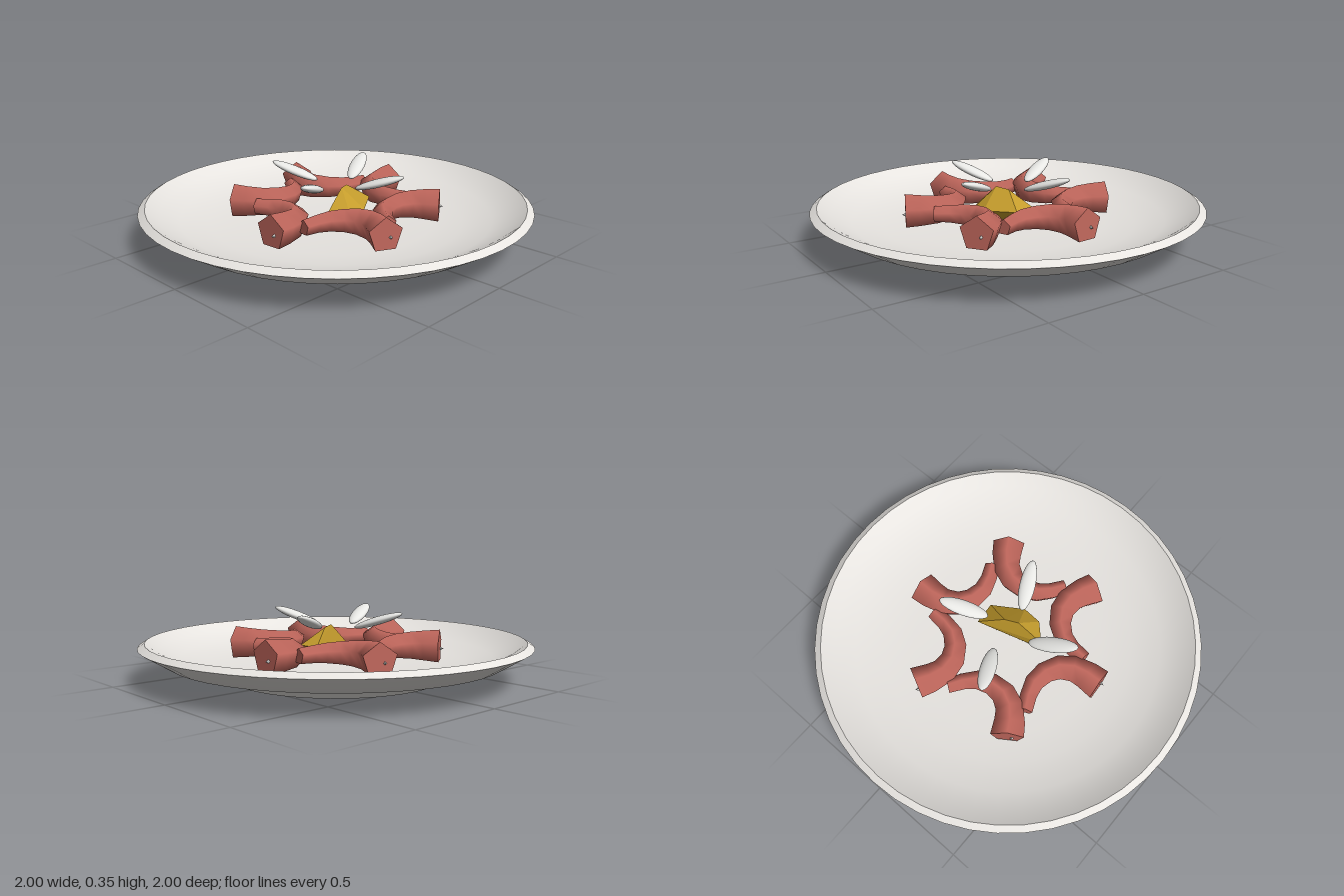
import * as THREE from 'three';
import { ConvexGeometry } from 'three/addons/geometries/ConvexGeometry.js';
import { toCreasedNormals } from 'three/addons/utils/BufferGeometryUtils.js';

const V = (x, y, z) => new THREE.Vector3(x, y, z);

function material(name, color, side = THREE.FrontSide) {
  const m = new THREE.MeshStandardMaterial({ color, side });
  m.name = name;
  return m;
}

function addMesh(parent, name, geometry, mat) {
  const mesh = new THREE.Mesh(geometry, mat);
  mesh.name = name;
  parent.add(mesh);
  return mesh;
}

// Five-sided tube that narrows from its first ring to its last
function taperedTube(curve, rings, sides, r0, r1) {
  const geo = new THREE.TubeGeometry(curve, rings, r0, sides);
  const pos = geo.attributes.position;
  const v = V(0, 0, 0);
  for (let i = 0; i <= rings; i++) {
    const t = i / rings;
    const c = curve.getPointAt(t);
    const s = 1 + (r1 / r0 - 1) * Math.min(1, t * 1.05);
    for (let j = 0; j <= sides; j++) {
      const k = i * (sides + 1) + j;
      v.fromBufferAttribute(pos, k).sub(c).multiplyScalar(s).add(c);
      pos.setXYZ(k, v.x, v.y, v.z);
    }
  }
  return geo;
}

// Flat end built from one ring of a tube
function endCap(tube, ring, sides) {
  const pos = tube.attributes.position;
  const pts = [];
  for (let j = 0; j < sides; j++) pts.push(V(0, 0, 0).fromBufferAttribute(pos, ring * (sides + 1) + j));
  const tris = [];
  for (let j = 1; j < sides - 1; j++) tris.push(pts[0], pts[j], pts[j + 1]);
  const geo = new THREE.BufferGeometry().setFromPoints(tris);
  geo.computeVertexNormals();
  return geo;
}

export function createModel() {
  const model = new THREE.Group();
  model.name = 'seafoodPlate';
  const china = material('china white', 0xebe8e4);
  const pink = material('shrimp pink', 0xc4695e, THREE.DoubleSide);
  const yellow = material('lemon yellow', 0xc49c2c, THREE.DoubleSide);
  const pale = material('garnish white', 0xebebe8);

  // Plate: foot, flared underside, rim and shallow inside
  const outside = [[0, 0], [0.55, 0], [0.6, 0.05], [0.86, 0.092], [1, 0.178], [0.965, 0.2]];
  const inside = [[0.9, 0.158], [0.8, 0.118], [0.65, 0.087], [0.5, 0.073], [0.25, 0.065], [0, 0.063]];
  const profile = [...outside, ...inside].map(([x, y]) => new THREE.Vector2(x, y));
  addMesh(model, 'plate', toCreasedNormals(new THREE.LatheGeometry(profile, 48), 0.6), china);

  // Ring of six curled shrimp
  const curve = new THREE.CatmullRomCurve3([
    V(0.092, 0.162, 0.525), V(0.082, 0.162, 0.39), V(0.01, 0.162, 0.295),
    V(-0.12, 0.162, 0.268), V(-0.25, 0.162, 0.325),
  ]);
  const rings = 7, sides = 5;
  const bodyGeo = taperedTube(curve, rings, sides, 0.088, 0.04);
  const capGeos = [endCap(bodyGeo, 0, sides), endCap(bodyGeo, rings, sides)];
  const tailGeo = new THREE.ConeGeometry(0.03, 0.06, 4);
  for (let k = 0; k < 6; k++) {
    const shrimp = new THREE.Group();
    shrimp.name = 'shrimp';
    addMesh(shrimp, 'shrimpBody', bodyGeo, pink);
    capGeos.forEach((g) => addMesh(shrimp, 'shrimpEnd', g, pink));
    const tail = addMesh(shrimp, 'shrimpTail', tailGeo, pale);
    tail.position.set(0.115, 0.15, 0.512);
    tail.rotation.x = Math.PI / 2;
    shrimp.rotation.y = k * Math.PI / 3;
    model.add(shrimp);
  }

  // Faceted lemon wedge
  addMesh(model, 'lemonWedge', new ConvexGeometry([
    V(0.03, 0.255, -0.05), V(0.06, 0.262, 0.02),
    V(-0.045, 0.17, -0.17), V(0.07, 0.17, -0.18), V(0.172, 0.16, -0.03),
    V(0.17, 0.15, 0.07), V(0.085, 0.15, 0.155),
    V(0, 0.08, -0.12), V(0.07, 0.08, 0.12), V(0.13, 0.08, 0),
  ]), yellow);

  // Four thin slices leaning outward
  const sliceGeo = new THREE.SphereGeometry(1, 20, 12).scale(0.132, 0.021, 0.041);
  for (let k = 0; k < 4; k++) {
    const arm = new THREE.Group();
    arm.name = 'garnishArm';
    const slice = addMesh(arm, 'garnishSlice', sliceGeo, pale);
    slice.position.set(0.235, 0.303, -0.07);
    slice.rotation.set(0, 0.47, 0.31, 'YXZ');
    arm.rotation.y = k * Math.PI / 2;
    model.add(arm);
  }
  return model;
}
